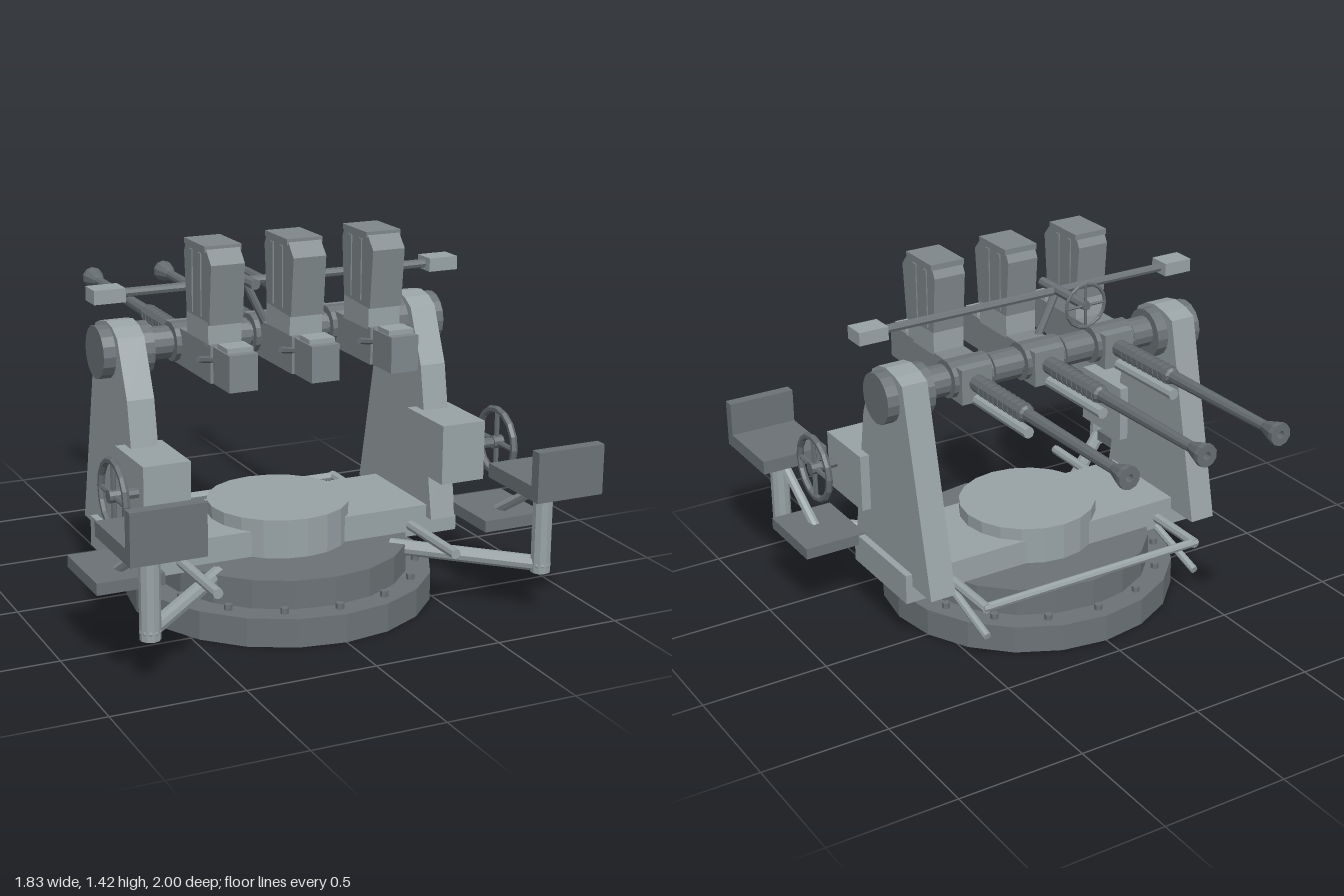
import * as THREE from 'three';

const material = (color, side = THREE.FrontSide) =>
  new THREE.MeshStandardMaterial({ color, flatShading: true, side });
const light = material(0x98a2a5);
const mid = material(0x7f878a);
const dark = material(0x6b7276);
const steel = material(0x656c70, THREE.DoubleSide);

function add(parent, name, geometry, mat, x = 0, y = 0, z = 0) {
  const mesh = new THREE.Mesh(geometry, mat);
  mesh.name = name;
  mesh.position.set(x, y, z);
  parent.add(mesh);
  return mesh;
}

// Box given by its extents on each axis
function box(parent, name, mat, [x0, x1], [y0, y1], [z0, z1]) {
  return add(parent, name, new THREE.BoxGeometry(x1 - x0, y1 - y0, z1 - z0), mat,
    (x0 + x1) / 2, (y0 + y1) / 2, (z0 + z1) / 2);
}

// Straight round bar between two points
function bar(parent, name, mat, a, b, radius, sides = 10, radiusEnd = radius) {
  const p = new THREE.Vector3(...a), q = new THREE.Vector3(...b);
  const d = q.clone().sub(p);
  const mesh = add(parent, name, new THREE.CylinderGeometry(radiusEnd, radius, d.length(), sides), mat);
  mesh.position.copy(p).add(q).multiplyScalar(0.5);
  mesh.quaternion.setFromUnitVectors(new THREE.Vector3(0, 1, 0), d.normalize());
  return mesh;
}

// Outline in (z, y) extruded along x, centred on x = 0
function sideProfile(points, width) {
  const shape = new THREE.Shape(points.map(([z, y]) => new THREE.Vector2(-z, y)));
  const g = new THREE.ExtrudeGeometry(shape, { depth: width, bevelEnabled: false });
  return g.translate(0, 0, -width / 2).rotateY(Math.PI / 2);
}

// Spoked wheel lying in the xy plane
function wheel(name, radius, rim) {
  const g = new THREE.Group();
  g.name = name;
  add(g, 'rim', new THREE.TorusGeometry(radius, rim, 6, 16), steel);
  for (const [x, y] of [[radius, 0], [0, radius]])
    bar(g, 'spoke', steel, [-x, -y, 0], [x, y, 0], rim * 0.75, 6);
  bar(g, 'hub', steel, [0, 0, -rim * 1.5], [0, 0, rim * 1.5], radius * 0.2, 10);
  return g;
}

function createBase() {
  const g = new THREE.Group();
  g.name = 'base';
  const cz = 0.18;
  const disc = (name, mat, r, y0, y1, z = cz) =>
    add(g, name, new THREE.CylinderGeometry(r, r, y1 - y0, 20), mat, 0, (y0 + y1) / 2, z);
  disc('baseRing', dark, 0.59, 0, 0.11);
  disc('turntable', dark, 0.495, 0.11, 0.22);
  disc('centreDrum', light, 0.275, 0.22, 0.37, 0.17);
  box(g, 'crossBeam', light, [-0.68, 0.68], [0.2, 0.32], [-0.06, 0.36]);
  for (let i = 0; i < 16; i++) {
    const a = i * Math.PI / 8;
    add(g, 'bolt', new THREE.CylinderGeometry(0.016, 0.016, 0.025, 6), dark,
      0.53 * Math.sin(a), 0.12, cz + 0.53 * Math.cos(a));
  }
  bar(g, 'rearRail', light, [-0.49, 0.245, -0.31], [0.49, 0.245, -0.31], 0.017, 8);
  return g;
}

// Everything that stands on one side; s is the sign of x
function createSide(s) {
  const g = new THREE.Group();
  g.name = s > 0 ? 'leftSide' : 'rightSide';
  const sideBox = (name, mat, a, b, y, z) =>
    box(g, name, mat, s > 0 ? [a, b] : [-b, -a], y, z);

  // Upright arm with a rounded head
  const outline = [[0.4, 0.27], [0.29, 0.86], [0.2, 1.07], [0.15, 1.1], [0.09, 1.112],
    [0.02, 1.1], [-0.03, 1.08], [-0.205, 0.27]];
  add(g, 'uprightArm', sideProfile(outline, 0.105), light, s * 0.6);
  for (const [a, b] of [[0.64, 0.7], [0.5, 0.56]])
    bar(g, 'trunnionCap', dark, [s * a, 1.0, 0.09], [s * b, 1.0, 0.09], 0.1, 16);

  // Gearbox and handwheel
  sideBox('gearbox', light, 0.51, 0.69, [0.46, 0.69], [0.26, 0.54]);
  bar(g, 'wheelShaft', steel, [s * 0.68, 0.58, 0.48], [s * 0.8, 0.58, 0.48], 0.02, 8);
  const w = wheel('handwheel', 0.128, 0.014);
  w.position.set(s * 0.78, 0.58, 0.48);
  w.rotation.y = Math.PI / 2;
  g.add(w);

  // Seat, its post and the footrest
  sideBox('seat', dark, 0.64, 0.915, [0.51, 0.565], [0.66, 1.0]);
  sideBox('seatBack', dark, 0.64, 0.915, [0.565, 0.7], [0.955, 1.0]);
  sideBox('footrest', dark, 0.65, 0.905, [0.28, 0.325], [0.325, 0.635]);
  const foot = [s * 0.78, 0.2, 0.82];
  bar(g, 'seatPost', light, [s * 0.78, 0.17, 0.82], [s * 0.78, 0.515, 0.82], 0.038);
  bar(g, 'seatBeam', light, foot, [s * 0.36, 0.2, 0.42], 0.03);
  add(g, 'seatElbow', new THREE.SphereGeometry(0.039, 10, 6), light, ...foot);
  bar(g, 'seatBrace', light, [s * 0.78, 0.5, 0.81], [s * 0.78, 0.31, 0.5], 0.02, 8);

  // Side rail and its sloping stay
  bar(g, 'sideRail', light, [s * 0.48, 0.245, -0.32], [s * 0.48, 0.245, 0.71], 0.02, 8);
  bar(g, 'railStay', light, [s * 0.48, 0.22, 0], [s * 0.48, 0.125, -0.32], 0.016, 8);
  return g;
}

function createGun(x) {
  const g = new THREE.Group();
  g.name = 'gun';
  g.position.x = x;

  // Receiver with its front block
  box(g, 'receiver', mid, [-0.065, 0.065], [0.93, 1.07], [0.0, 0.43]);
  box(g, 'receiverEnd', mid, [-0.055, 0.055], [0.93, 1.065], [0.43, 0.575]);
  box(g, 'endCover', light, [-0.05, 0.05], [0.97, 1.083], [0.46, 0.545]);
  bar(g, 'cockingHandle', steel, [-0.05, 1.015, 0.42], [-0.125, 1.035, 0.46], 0.012, 6);

  // Magazine on its housing
  box(g, 'magazineHousing', light, [-0.065, 0.065], [1.06, 1.15], [0.21, 0.41]);
  const drum = [[0.42, 1.14], [0.44, 1.36], [0.395, 1.41], [0.21, 1.41], [0.19, 1.37], [0.21, 1.15]];
  add(g, 'magazine', sideProfile(drum, 0.13), mid);
  box(g, 'magazineLid', mid, [-0.071, 0.071], [1.4, 1.422], [0.205, 0.395]);
  for (const z of [0.26, 0.34])
    box(g, 'magazineRib', mid, [-0.07, 0.07], [1.16, 1.39], [z - 0.012, z + 0.012]);

  // Barrel with a flared, hollow muzzle
  const barrel = new THREE.Group();
  barrel.name = 'barrel';
  barrel.position.set(0, 1.008, 0);
  barrel.rotation.x = 0.02;
  g.add(barrel);
  const profile = [[0.034, 0], [0.033, 0.35], [0.025, 0.36], [0.02, 0.91], [0.026, 0.925],
    [0.043, 0.98], [0.043, 1.0], [0.015, 1.0], [0.013, 0.93], [0, 0.93]];
  const lathe = new THREE.LatheGeometry(profile.map(p => new THREE.Vector2(...p)), 10);
  add(barrel, 'barrelTube', lathe.rotateX(-Math.PI / 2), steel);
  for (let i = 0; i < 9; i++) {
    const ring = new THREE.CylinderGeometry(0.037, 0.037, 0.014, 10).rotateX(Math.PI / 2);
    add(barrel, 'coolingRing', ring, steel, 0, 0, -0.06 - i * 0.034);
  }
  bar(g, 'gasTube', light, [0, 0.938, 0.1], [0, 0.945, -0.365], 0.022, 8);
  return g;
}

function createAxle() {
  const g = new THREE.Group();
  g.name = 'axle';
  const ring = (x, width, r) =>
    bar(g, 'axleCollar', dark, [x - width / 2, 1.01, 0.09], [x + width / 2, 1.01, 0.09], r, 14);
  bar(g, 'axleShaft', dark, [-0.6, 1.01, 0.09], [0.6, 1.01, 0.09], 0.048, 14);
  for (const s of [-1, 1]) {
    ring(s * 0.46, 0.09, 0.062);
    ring(s * 0.16, 0.12, 0.062);
  }
  for (const x of [-0.32, 0, 0.32]) ring(x, 0.17, 0.075);
  return g;
}

function createSight() {
  const g = new THREE.Group();
  g.name = 'sight';
  bar(g, 'sightBar', dark, [-0.63, 1.23, 0.165], [0.63, 1.23, 0.165], 0.017, 8);
  for (const s of [-1, 1])
    box(g, 'sightEndBox', light, [s * 0.68 - 0.06, s * 0.68 + 0.06], [1.205, 1.257], [0.12, 0.212]);
  bar(g, 'sightRod', dark, [-0.135, 1.235, 0.265], [-0.135, 1.235, -0.04], 0.02, 8);
  bar(g, 'sightBracket', dark, [-0.135, 1.23, 0.165], [-0.05, 1.06, 0.165], 0.016, 8);
  const ring = wheel('sightRing', 0.086, 0.007);
  ring.position.set(-0.135, 1.235, -0.04);
  g.add(ring);
  return g;
}

export function createModel() {
  const model = new THREE.Group();
  model.name = 'tripleGunMount';
  model.add(createBase(), createSide(1), createSide(-1), createAxle(), createSight());
  for (const x of [-0.32, 0, 0.32]) model.add(createGun(x));
  return model;
}
